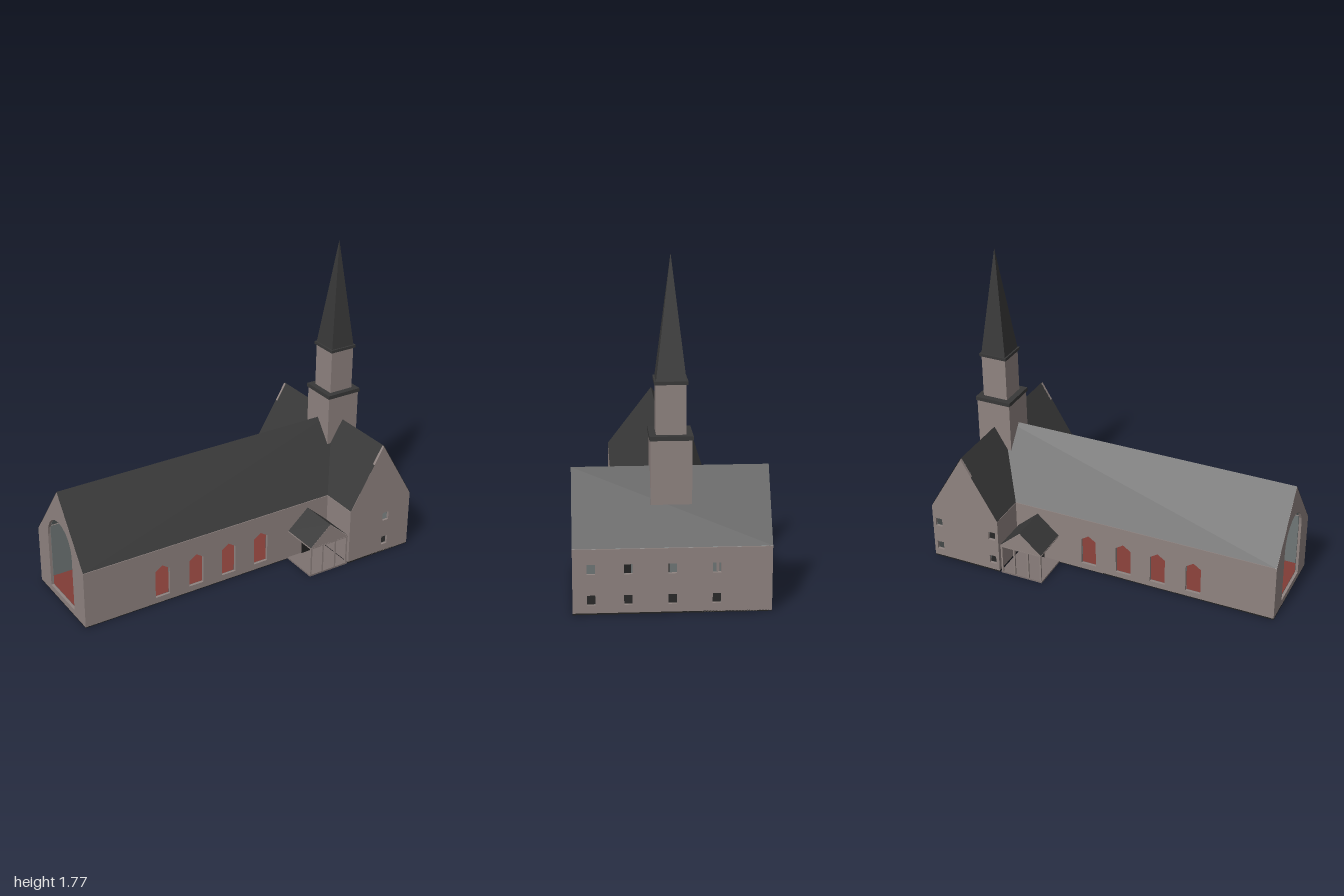
import * as THREE from 'three';

const mat = (color) => new THREE.MeshStandardMaterial({ color, flatShading: true, side: THREE.DoubleSide });
const WALL = mat(0x8f8380), ROOF = mat(0x383838), INNER = mat(0x6f7676);
const FLOOR = mat(0x803c36), DARK = mat(0x222222), PORCH = mat(0x7d7270);

const EAVE = 0.34, RIDGE = 0.7, T = 0.015, BASE = 0.004;
const NAVE_Z = 0.275, END_Z = 0.497, X0 = -1, X1 = 0.575, X2 = 1, XR = 0.79;

export function createModel() {
  const root = new THREE.Group();
  root.name = 'church';

  const add = (name, geo, material, parent = root) => {
    const m = new THREE.Mesh(geo, material);
    m.name = name;
    parent.add(m);
    return m;
  };
  const box = (name, x0, x1, y0, y1, z0, z1, material, parent) => {
    const m = add(name, new THREE.BoxGeometry(x1 - x0, y1 - y0, z1 - z0), material, parent);
    m.position.set((x0 + x1) / 2, (y0 + y1) / 2, (z0 + z1) / 2);
    return m;
  };
  const shapeOf = (pts) => new THREE.Shape(pts.map(([x, y]) => new THREE.Vector2(x, y)));
  const rect = (x, y, w, h) => [[x - w, y - h], [x + w, y - h], [x + w, y + h], [x - w, y + h]];
  const pentagon = (a, b, inset = 0) =>
    [[a, BASE], [b, BASE], [b, EAVE - inset], [(a + b) / 2, RIDGE - inset], [a, EAVE - inset]];

  // Wall with openings: outer face at local z = 0, grey lining on the inside
  const wall = (name, pts, holes, x, z, turn) => {
    const g = new THREE.Group();
    const s = shapeOf(pts);
    s.holes = holes.map(shapeOf);
    g.name = name;
    const geo = new THREE.ExtrudeGeometry(s, { depth: T, bevelEnabled: false });
    geo.translate(0, 0, -T);
    add(name + 'Masonry', geo, WALL, g);
    add(name + 'Lining', new THREE.ShapeGeometry(s), INNER, g).position.z = -T - 0.002;
    g.position.set(x, 0, z);
    g.rotation.y = turn;
    root.add(g);
  };

  // Roof slope as a flat polygon, with a grey ceiling below it
  const slope = (name, pts, parent = root, ceiling = true) => {
    const make = (dy) => {
      const v = [];
      for (let i = 1; i < pts.length - 1; i++)
        for (const p of [pts[0], pts[i], pts[i + 1]]) v.push(p[0], p[1] + dy, p[2]);
      const geo = new THREE.BufferGeometry();
      geo.setAttribute('position', new THREE.Float32BufferAttribute(v, 3));
      geo.computeVertexNormals();
      return geo;
    };
    add(name, make(0.003), ROOF, parent);
    if (ceiling) add(name + 'Ceiling', make(-0.012), INNER, parent);
  };

  // Base slabs and nave floor
  box('naveBase', X0, X1, 0, 0.008, -NAVE_Z, NAVE_Z, DARK);
  box('transeptBase', X1, X2, 0, 0.008, -END_Z, END_Z, DARK);
  box('naveFloor', X0 + T, X1 - T, 0.008, 0.014, -NAVE_Z + T, NAVE_Z - T, FLOOR);

  // Nave side walls with pointed windows
  const pointed = (x) => [[x - 0.045, 0.04], [x + 0.045, 0.04], [x + 0.045, 0.205], [x, 0.235], [x - 0.045, 0.205]];
  const naveX = [-0.525, -0.31, -0.1, 0.115];
  const side = (a, b) => [[a, BASE], [b, BASE], [b, EAVE], [a, EAVE]];
  wall('naveFrontWall', side(X0, X1), naveX.map(pointed), 0, NAVE_Z, 0);
  wall('naveBackWall', side(-X1, -X0), naveX.map((x) => pointed(-x)), 0, -NAVE_Z, Math.PI);

  // Nave end wall with a large arched opening
  const arch = [[-0.145, 0.04], [0.145, 0.04]];
  for (let i = 0; i <= 10; i++) {
    const a = (i / 10) * Math.PI;
    arch.push([0.145 * Math.cos(a), 0.37 + 0.145 * Math.sin(a)]);
  }
  wall('naveEndWall', pentagon(-NAVE_Z, NAVE_Z), [arch], X0, 0, -Math.PI / 2);

  // Transept walls with small square windows in two rows
  const small = (xs) => xs.flatMap((x) => [0.075, 0.235].map((y) => rect(x, y, 0.021, 0.026)));
  wall('transeptFrontGable', pentagon(X1, X2), small([0.83]), 0, END_Z, 0);
  wall('transeptBackGable', pentagon(-X2, -X1), small([-0.96, -0.615]), 0, -END_Z, Math.PI);
  wall('transeptOuterWall', side(-END_Z, END_Z), small([-0.405, -0.22, 0, 0.22]), X2, 0, Math.PI / 2);
  for (const s of [-1, 1]) {
    const [a, b] = [s * NAVE_Z, s * END_Z].sort((p, q) => p - q);
    wall('transeptInnerWall', side(a, b), [], X1, 0, -Math.PI / 2);
  }

  // Partition between nave and transept, with its doors
  const partition = add('partition', new THREE.ShapeGeometry(shapeOf(pentagon(-NAVE_Z + T, NAVE_Z - T, 0.03))), INNER);
  partition.position.x = X1;
  partition.rotation.y = -Math.PI / 2;
  box('partitionDoor', X1, X1 + 0.006, 0.01, 0.3, -0.012, 0.05, DARK);
  box('partitionSideDoor', X1, X1 + 0.006, 0.01, 0.11, 0.19, 0.25, DARK);

  // Nave and transept roofs, meeting in valleys
  for (const s of [-1, 1]) {
    slope('naveRoof', [[X0, EAVE, s * NAVE_Z], [X1, EAVE, s * NAVE_Z], [XR, RIDGE, 0], [X0, RIDGE, 0]]);
    slope('transeptInnerRoof', [[X1, EAVE, s * NAVE_Z], [X1, EAVE, s * END_Z], [XR, RIDGE, s * END_Z], [XR, RIDGE, 0]]);
  }
  slope('transeptOuterRoof', [[X2, EAVE, -END_Z], [X2, EAVE, END_Z], [XR, RIDGE, END_Z], [XR, RIDGE, -END_Z]]);

  // Tower: two square stages with cornices, then the spire
  const tower = new THREE.Group();
  tower.name = 'tower';
  tower.position.x = XR;
  root.add(tower);
  const stage = (name, h, y0, y1, m) => box(name, -h, h, y0, y1, -h, h, m, tower);
  stage('towerLower', 0.103, 0.53, 0.86, WALL);
  stage('lowerCornice', 0.109, 0.858, 0.88, ROOF);
  stage('towerUpper', 0.075, 0.88, 1.135, WALL);
  stage('upperCornice', 0.084, 1.133, 1.15, ROOF);
  const spire = new THREE.ConeGeometry(0.075 * Math.SQRT2, 0.62, 4, 1);
  spire.rotateY(Math.PI / 4);
  add('spire', spire, ROOF, tower).position.y = 1.46;

  // Porches on both sides: floor, posts, door, beams, gable and roof
  const PX0 = 0.305, PX1 = 0.565, PXC = 0.435, PE = 0.185, PR = 0.3;
  for (const s of [-1, 1]) {
    const p = new THREE.Group();
    p.name = s > 0 ? 'frontPorch' : 'backPorch';
    root.add(p);
    const pbox = (name, x0, x1, y0, y1, z0, z1, m) =>
      box(name, x0, x1, y0, y1, Math.min(s * z0, s * z1), Math.max(s * z0, s * z1), m, p);
    pbox('porchFloor', PX0, PX1, 0, 0.01, NAVE_Z, END_Z, PORCH);
    pbox('porchDoor', 0.4, 0.47, 0.01, 0.11, NAVE_Z, NAVE_Z + 0.005, DARK);
    for (const x of [0.313, 0.392, 0.478, 0.557])
      pbox('porchPost', x - 0.005, x + 0.005, 0.01, PE, END_Z - 0.012, END_Z - 0.002, WALL);
    pbox('porchCeiling', PX0, PX1, PE - 0.006, PE, NAVE_Z, END_Z, WALL);
    const gable = new THREE.ShapeGeometry(shapeOf([[PX0, PE], [PX1, PE], [PXC, PR]]));
    add('porchGable', gable, WALL, p).position.z = s * (END_Z - 0.001);
    for (const x of [PX0, PX1])
      slope('porchRoof', [[x, PE, s * NAVE_Z], [x, PE, s * END_Z], [PXC, PR, s * END_Z], [PXC, PR, s * NAVE_Z]], p, false);
  }
  return root;
}
